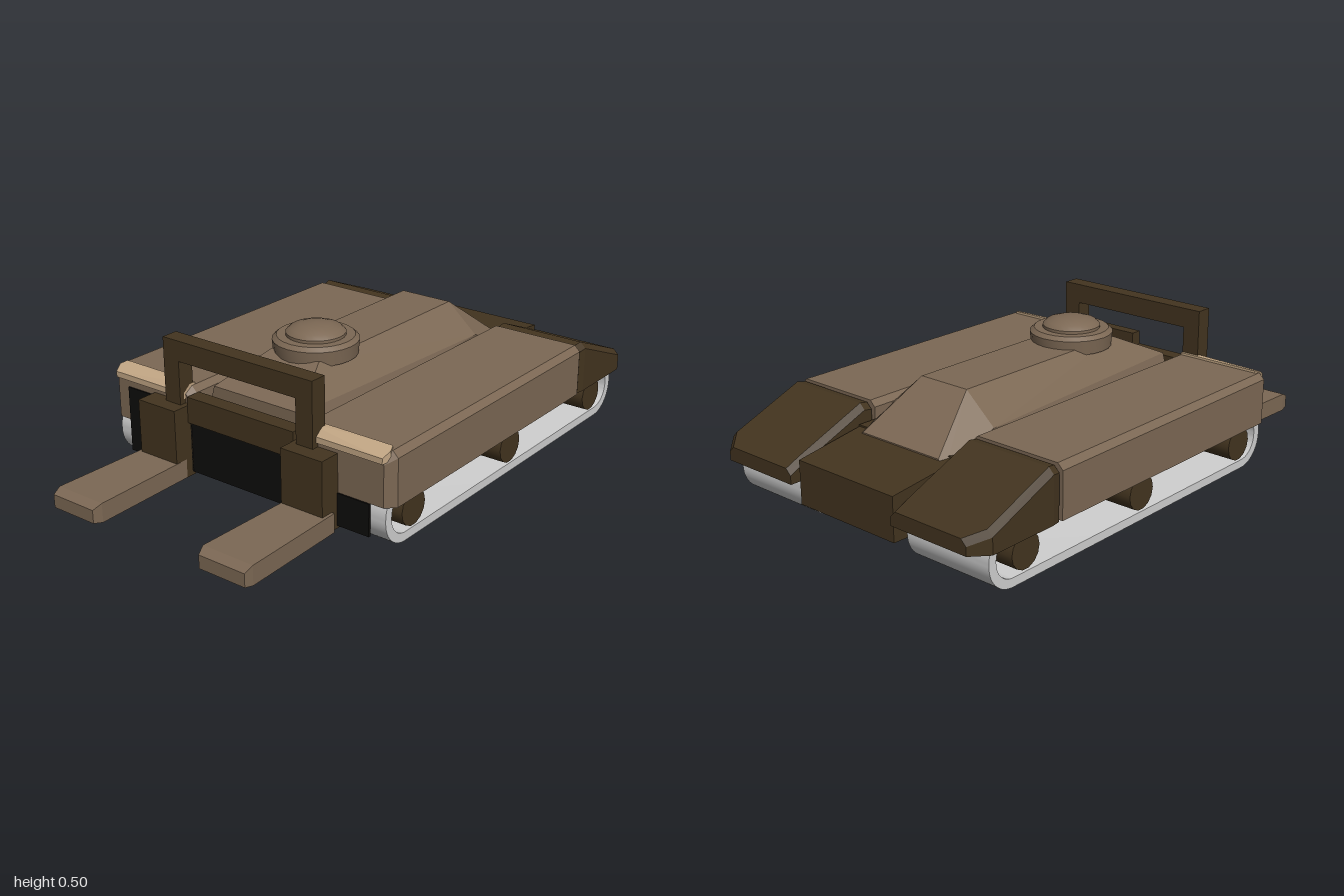
import * as THREE from 'three';
import { ConvexGeometry } from 'three/addons/geometries/ConvexGeometry.js';
import { toCreasedNormals } from 'three/addons/utils/BufferGeometryUtils.js';

export function createModel() {
  const paint = (name, color) => {
    const m = new THREE.MeshStandardMaterial({ color });
    m.name = name;
    return m;
  };
  const brown = paint('brown armour', 0x7c6854);
  const dark = paint('dark brown metal', 0x43341f);
  const tan = paint('tan lamp', 0xc2a684);
  const grey = paint('light grey track', 0xd0d0d0);
  const black = paint('black', 0x0e0d0b);

  // The vehicle is built along +z, then turned 45 degrees
  const vehicle = new THREE.Group();
  vehicle.name = 'vehicle';
  vehicle.rotation.y = -Math.PI / 4;

  const add = (name, geo, mat) => {
    const mesh = new THREE.Mesh(geo, mat);
    mesh.name = name;
    vehicle.add(mesh);
    return mesh;
  };
  const box = (name, mat, x0, x1, y0, y1, z0, z1) => {
    const mesh = add(name, new THREE.BoxGeometry(Math.abs(x1 - x0), y1 - y0, z1 - z0), mat);
    mesh.position.set((x0 + x1) / 2, (y0 + y1) / 2, (z0 + z1) / 2);
    return mesh;
  };
  // Convex solid through cross-sections [z, [[x, y], ...]], mirrored by side
  const solid = (name, mat, sections, side = 1) => {
    const pts = sections.flatMap(([z, ring]) => ring.map(([x, y]) => new THREE.Vector3(side * x, y, z)));
    return add(name, new ConvexGeometry(pts), mat);
  };
  // Pod cross-section with bevelled top edges
  const pod = (xIn, xOut, y0, y1, b = 0.02) => [
    [xIn, y0], [xOut, y0], [xOut, y1 - b], [xOut - b, y1], [xIn + b, y1], [xIn, y1 - b],
  ];

  // Track loop outline
  const loop = (path, z0, z1, y0, y1, r) => {
    path.moveTo(z0 + r, y0);
    path.lineTo(z1 - r, y0);
    path.absarc(z1 - r, y0 + r, r, -Math.PI / 2, 0, false);
    path.absarc(z1 - r, y1 - r, r, 0, Math.PI / 2, false);
    path.absarc(z0 + r, y1 - r, r, Math.PI / 2, Math.PI, false);
    path.absarc(z0 + r, y0 + r, r, Math.PI, Math.PI * 1.5, false);
    return path;
  };

  for (const s of [1, -1]) {
    // Side pod over each track
    solid('sidePod', brown, [
      [0.57, pod(0.22, 0.55, 0.15, 0.31)],
      [0.54, pod(0.22, 0.58, 0.15, 0.33)],
      [-0.53, pod(0.22, 0.58, 0.15, 0.33)],
    ], s);
    solid('podRear', dark, [
      [-0.54, pod(0.225, 0.575, 0.15, 0.325)],
      [-0.57, pod(0.225, 0.58, 0.15, 0.33)],
      [-0.83, pod(0.225, 0.58, 0.15, 0.225)],
      [-0.885, pod(0.225, 0.53, 0.15, 0.2)],
    ], s);
    solid('frontLamp', tan, [
      [0.525, [[0.24, 0.338], [0.55, 0.338], [0.55, 0.3], [0.24, 0.3]]],
      [0.55, [[0.24, 0.338], [0.56, 0.332], [0.56, 0.3], [0.24, 0.3]]],
      [0.578, [[0.24, 0.315], [0.55, 0.315], [0.55, 0.295], [0.24, 0.295]]],
    ], s);

    // Track band
    const shape = loop(new THREE.Shape(), -0.82, 0.565, 0, 0.21, 0.1);
    shape.holes.push(loop(new THREE.Path(), -0.79, 0.535, 0.03, 0.18, 0.072));
    const band = new THREE.ExtrudeGeometry(shape, { depth: 0.33, bevelEnabled: false, curveSegments: 8 });
    band.rotateY(-Math.PI / 2);
    band.translate(s > 0 ? 0.555 : -0.225, 0, 0);
    add('track', toCreasedNormals(band, 0.6), grey);

    // Road wheels
    for (const z of [0.43, -0.12, -0.67]) {
      const wheel = add('roadWheel', toCreasedNormals(new THREE.CylinderGeometry(0.06, 0.06, 0.33, 14), 0.6), dark);
      wheel.rotation.z = Math.PI / 2;
      wheel.position.set(s * 0.395, 0.1, z);
    }

    // Fork and its mount
    box('forkMount', dark, s * 0.22, s * 0.38, 0.03, 0.28, 0.56, 0.645);
    solid('fork', brown, [
      [0.6, [[0.22, 0.03], [0.39, 0.03], [0.39, 0.095], [0.22, 0.095]]],
      [0.98, [[0.21, 0.03], [0.4, 0.03], [0.4, 0.095], [0.21, 0.095]]],
      [1.01, [[0.22, 0.035], [0.395, 0.035], [0.395, 0.08], [0.22, 0.08]]],
    ], s);

    // Guard arch post
    box('guardPost', dark, s * 0.24, s * 0.305, 0.25, 0.44, 0.535, 0.595);
  }
  box('guardBar', dark, -0.305, 0.305, 0.43, 0.5, 0.535, 0.595);
  box('frontCrossbar', dark, -0.22, 0.22, 0.22, 0.31, 0.53, 0.585);
  box('frontRecess', black, -0.22, 0.22, 0.04, 0.22, 0.53, 0.57);
  box('lowerFrontPlateLeft', black, 0.22, 0.5, 0.04, 0.15, 0.567, 0.575);
  box('lowerFrontPlateRight', black, -0.5, -0.22, 0.04, 0.27, 0.567, 0.575);

  // Central hull with sloped sides
  solid('upperHull', brown, [
    [0.5, [[-0.18, 0.33], [0.18, 0.33], [-0.2, 0.26], [0.2, 0.26]]],
    [0.31, [[-0.1, 0.42], [0.1, 0.42]]],
    [-0.43, [[-0.1, 0.42], [0.1, 0.42], [-0.215, 0.32], [0.215, 0.32]]],
    [-0.63, [[-0.17, 0.265], [0.17, 0.265], [-0.2, 0.24], [0.2, 0.24]]],
  ]);
  box('lowerHull', dark, -0.22, 0.22, 0.06, 0.27, -0.6, 0.535);
  solid('rearHull', dark, [
    [-0.56, [[-0.22, 0.08], [0.22, 0.08], [-0.22, 0.27], [0.22, 0.27]]],
    [-0.86, [[-0.21, 0.08], [0.21, 0.08], [-0.21, 0.23], [0.21, 0.23]]],
  ]);
  box('visionPlate', dark, -0.11, 0.11, 0.3, 0.41, 0.41, 0.45);

  // Hatch ring and dome
  const profile = [[0.14, 0.4], [0.145, 0.45], [0.13, 0.463], [0.1, 0.463], [0.1, 0.473], [0.085, 0.487], [0.05, 0.498], [0, 0.502]];
  const hatch = new THREE.LatheGeometry(profile.map(([r, y]) => new THREE.Vector2(r, y)), 24);
  add('hatch', toCreasedNormals(hatch, 0.5), brown).position.z = 0.2;

  const model = new THREE.Group();
  model.name = 'forkliftCrawler';
  model.add(vehicle);
  return model;
}
